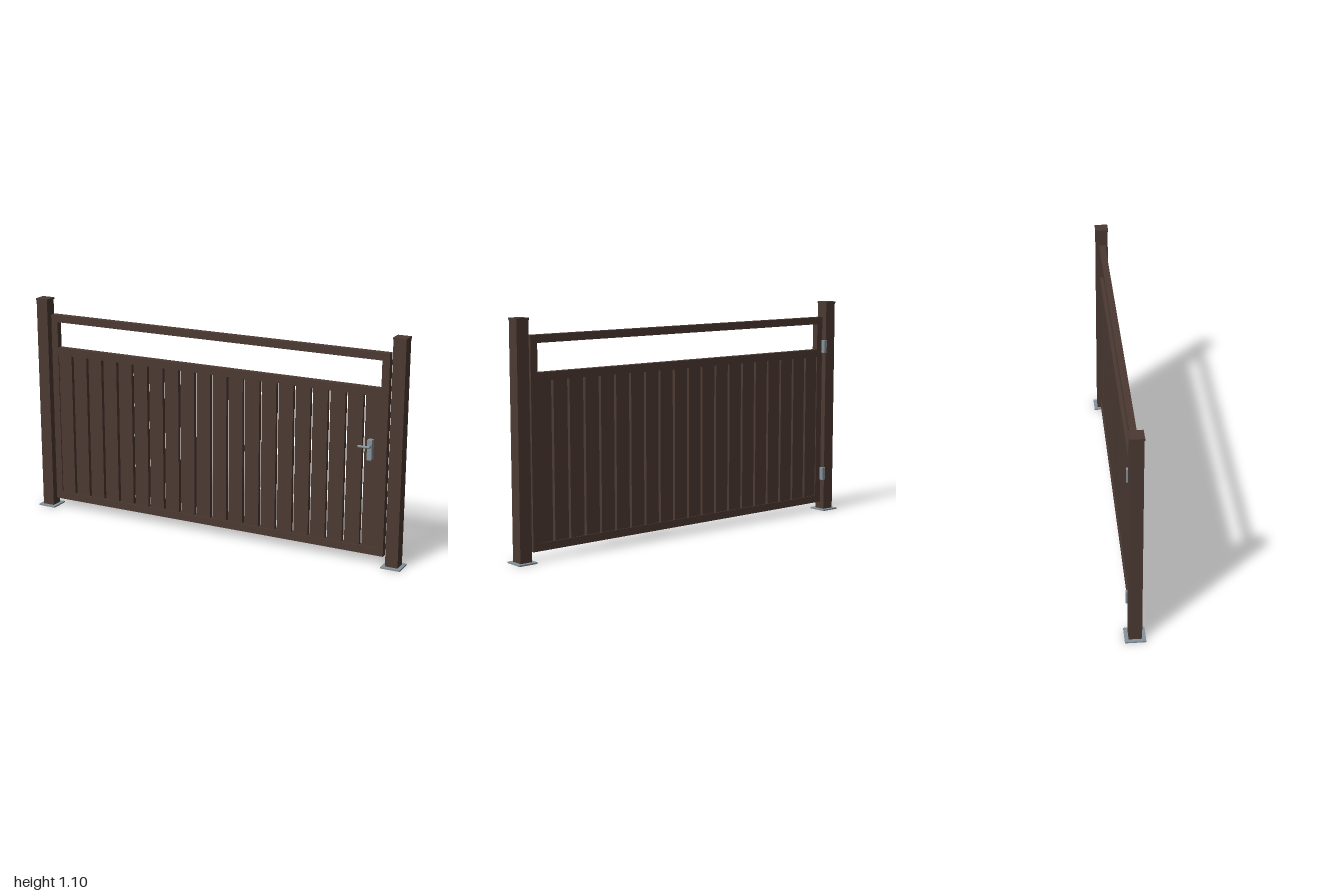
import * as THREE from 'three';

const Z = -0.009; // centre plane of posts and gate

export function createModel() {
  const brown = new THREE.MeshStandardMaterial({ color: 0x4c3a33 });
  brown.name = 'dark brown paint';
  const steel = new THREE.MeshStandardMaterial({ color: 0x87939b });
  steel.name = 'grey steel';

  const model = new THREE.Group();
  model.name = 'gardenGate';

  // Box given by its min and max extents on each axis
  const box = (parent, name, mat, [x0, x1], [y0, y1], [z0, z1]) => {
    const mesh = new THREE.Mesh(new THREE.BoxGeometry(x1 - x0, y1 - y0, z1 - z0), mat);
    mesh.position.set((x0 + x1) / 2, (y0 + y1) / 2, (z0 + z1) / 2);
    mesh.name = name;
    parent.add(mesh);
    return mesh;
  };
  const around = (c, size) => [c - size / 2, c + size / 2];

  // Posts with base plates and flat caps
  for (const side of [-1, 1]) {
    const post = new THREE.Group();
    post.name = side < 0 ? 'rightPost' : 'leftPost';
    const x = side * 0.952;
    box(post, 'basePlate', steel, around(x, 0.096), [0, 0.007], around(Z, 0.097));
    box(post, 'postShaft', brown, around(x, 0.062), [0.007, 1.095], around(Z, 0.061));
    box(post, 'postCap', brown, around(x, 0.067), [1.095, 1.104], around(Z, 0.066));
    model.add(post);
  }

  // Gate frame: two stiles and three rails
  const gate = new THREE.Group();
  gate.name = 'gateLeaf';
  model.add(gate);
  const frameZ = around(Z, 0.032);
  box(gate, 'hingeStile', brown, [-0.908, -0.872], [0.046, 1.025], frameZ);
  box(gate, 'latchStile', brown, [0.867, 0.903], [0.046, 1.025], frameZ);
  for (const [name, y0, y1] of [
    ['bottomRail', 0.046, 0.083],
    ['middleRail', 0.819, 0.857],
    ['topRail', 0.989, 1.025],
  ]) box(gate, name, brown, [-0.872, 0.867], [y0, y1], frameZ);

  // Vertical slats with narrow gaps
  const count = 20, pitch = 0.0876;
  for (let i = 0; i < count; i++) {
    const x = -0.0025 + (i - (count - 1) / 2) * pitch;
    box(gate, 'slat', brown, around(x, 0.075), [0.083, 0.819], around(Z, 0.021));
  }

  // Hinges bridging the gap at the back
  for (const y of [0.199, 0.872])
    box(model, 'hinge', steel, [-0.921, -0.903], around(y, 0.066), [-0.047, -0.025]);

  // Lock case, spindle and lever
  const handle = new THREE.Group();
  handle.name = 'handle';
  model.add(handle);
  box(handle, 'lockPlate', steel, [0.815, 0.838], [0.516, 0.613], [0.001, 0.029]);
  const rod = (name, r, length) => {
    const mesh = new THREE.Mesh(new THREE.CylinderGeometry(r, r, length, 16), steel);
    mesh.name = name;
    handle.add(mesh);
    return mesh;
  };
  const spindle = rod('spindle', 0.006, 0.026);
  spindle.rotation.x = Math.PI / 2;
  spindle.position.set(0.83, 0.585, 0.041);
  const lever = rod('lever', 0.006, 0.058);
  lever.rotation.z = Math.PI / 2;
  lever.position.set(0.808, 0.585, 0.052);

  return model;
}
